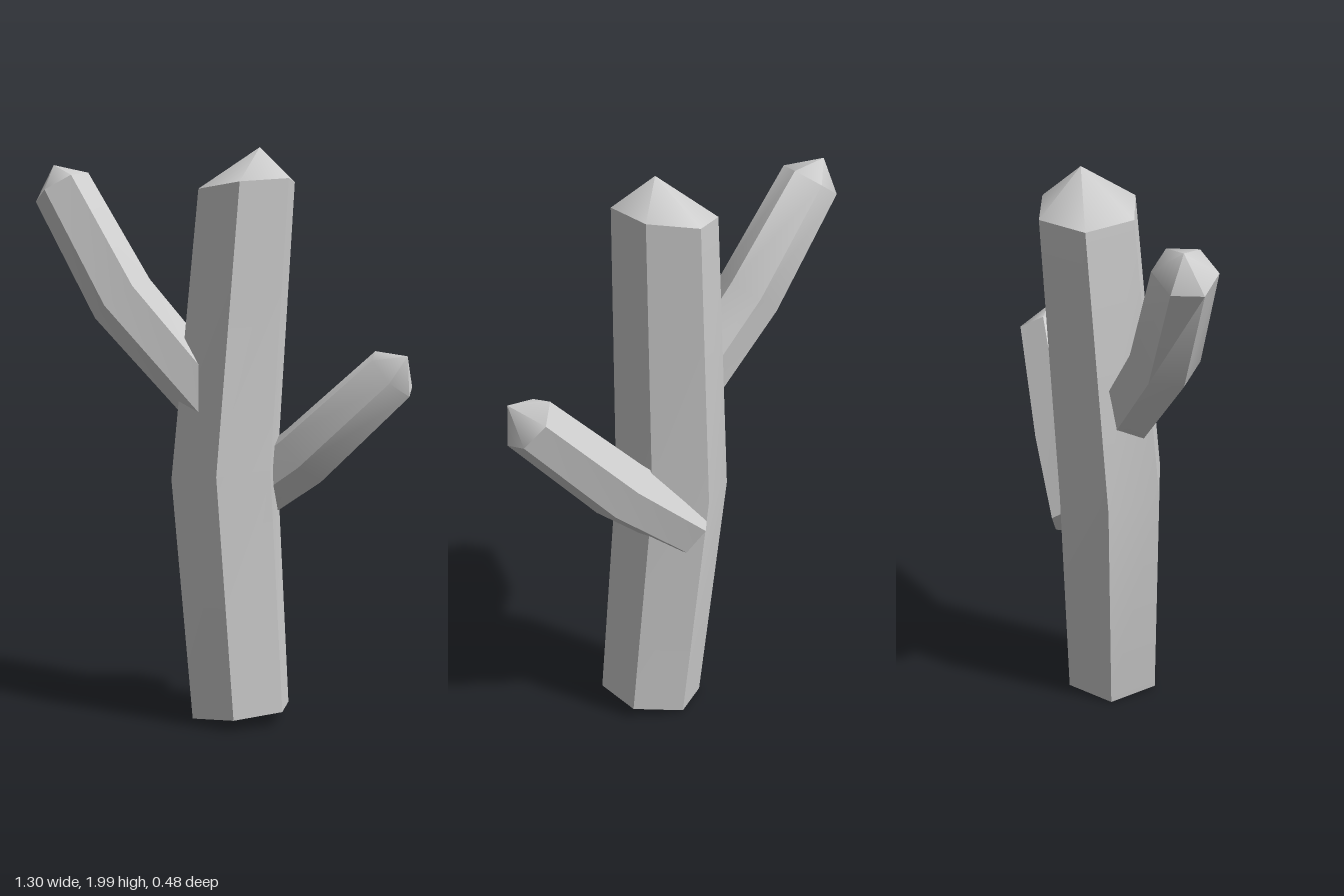
import * as THREE from 'three';
import { toCreasedNormals } from 'three/addons/utils/BufferGeometryUtils.js';

const SIDES = 6;
const V = (p) => new THREE.Vector3(...p);

// Six-sided ring around a centre, square to the given axis
function ring(center, axis, radius, phase) {
  const n = axis.clone().normalize();
  const u = new THREE.Vector3(0, 0, 1).cross(n).normalize();
  const v = n.clone().cross(u);
  return Array.from({ length: SIDES }, (_, i) => {
    const a = phase + (i / SIDES) * Math.PI * 2;
    return center.clone()
      .addScaledVector(u, radius * Math.cos(a))
      .addScaledVector(v, radius * Math.sin(a));
  });
}

// Skin a limb through its rings, with a flat base and a pointed tip
function limb(name, { path, radii, tip, phase, axis }) {
  const pts = path.map(V);
  const rings = pts.map((p, i) => {
    const before = pts[Math.max(i - 1, 0)];
    const after = pts[Math.min(i + 1, pts.length - 1)];
    const dir = axis ? V(axis) : after.clone().sub(before);
    return ring(p, dir, radii[i], THREE.MathUtils.degToRad(phase));
  });
  const apex = V(tip);
  const last = rings[rings.length - 1];
  const tris = [];
  for (let i = 0; i < SIDES; i++) {
    const j = (i + 1) % SIDES;
    for (let k = 0; k < rings.length - 1; k++) {
      const [a, b, c, d] = [rings[k][i], rings[k][j], rings[k + 1][j], rings[k + 1][i]];
      tris.push(a, b, c, a, c, d);
    }
    tris.push(last[i], last[j], apex);
    tris.push(rings[0][j], rings[0][i], pts[0]);
  }
  const geometry = toCreasedNormals(new THREE.BufferGeometry().setFromPoints(tris), 0.8);
  const mesh = new THREE.Mesh(geometry, new THREE.MeshStandardMaterial({ color: 0xcccccc }));
  mesh.name = name;
  return mesh;
}

export function createModel() {
  const group = new THREE.Group();
  group.name = 'branchingCactus';

  // Main stem, bent at mid height
  group.add(limb('trunk', {
    path: [[0.065, 0.035, 0.055], [0.01, 0.875, 0], [0.087, 1.87, -0.035]],
    radii: [0.183, 0.2, 0.18],
    tip: [0.13, 2.0, -0.03],
    phase: 20,
    axis: [-0.1, 1, -0.1],
  }));

  // Short lower arm
  group.add(limb('leftArm', {
    path: [[0.05, 0.74, -0.11], [0.285, 0.935, 0.005], [0.575, 1.235, 0.14]],
    radii: [0.105, 0.116, 0.103],
    tip: [0.62, 1.3, 0.19],
    phase: 30,
  }));

  // Long upper arm
  group.add(limb('rightArm', {
    path: [[-0.03, 1.12, 0.03], [-0.345, 1.48, -0.055], [-0.555, 1.863, -0.157]],
    radii: [0.105, 0.117, 0.105],
    tip: [-0.585, 1.94, -0.19],
    phase: 0,
  }));

  return group;
}
